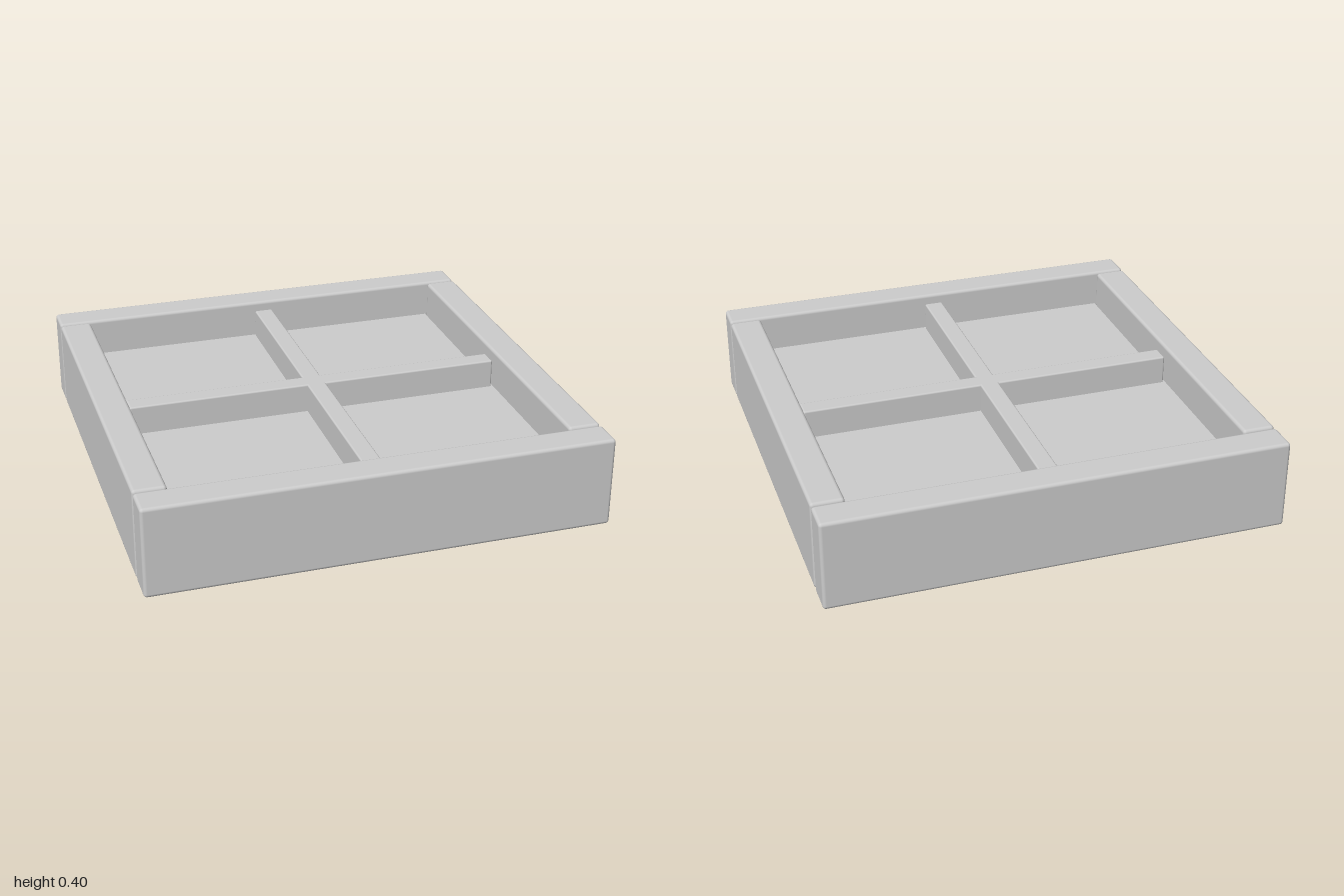
import * as THREE from 'three';
import { RoundedBoxGeometry } from 'three/addons/geometries/RoundedBoxGeometry.js';

export function createModel() {
  const group = new THREE.Group();
  group.name = 'panelledFrame';

  const grey = new THREE.MeshStandardMaterial({ color: 0xcccccc });
  grey.name = 'light grey';

  const H = 0.4;            // frame height
  const W = 0.143;          // frame member width
  const MID = H / 2;

  const add = (name, geometry, x, z) => {
    const mesh = new THREE.Mesh(geometry, grey);
    mesh.name = name;
    mesh.position.set(x, MID, z);
    group.add(mesh);
  };
  const rounded = (w, h, d, r) => new RoundedBoxGeometry(w, h, d, 2, r);

  // Outer frame: full-width rails front and back, shorter stiles between them
  for (const s of [1, -1]) {
    add(s > 0 ? 'frontRail' : 'backRail', rounded(2, H, W, 0.015), 0, s * (1 - W / 2));
    add(s > 0 ? 'leftStile' : 'rightStile', rounded(W, H, 1.694, 0.015), s * (1 - W / 2), 0);
  }

  // Crossing divider bars, slightly lower than the frame
  add('crossBar', rounded(1.694, 0.32, 0.085, 0.008), 0, 0);
  add('lengthBar', rounded(0.085, 0.32, 1.694, 0.008), 0, 0);

  // Thin pane at mid height
  add('pane', new THREE.BoxGeometry(1.71, 0.06, 1.71), 0, 0);

  return group;
}
